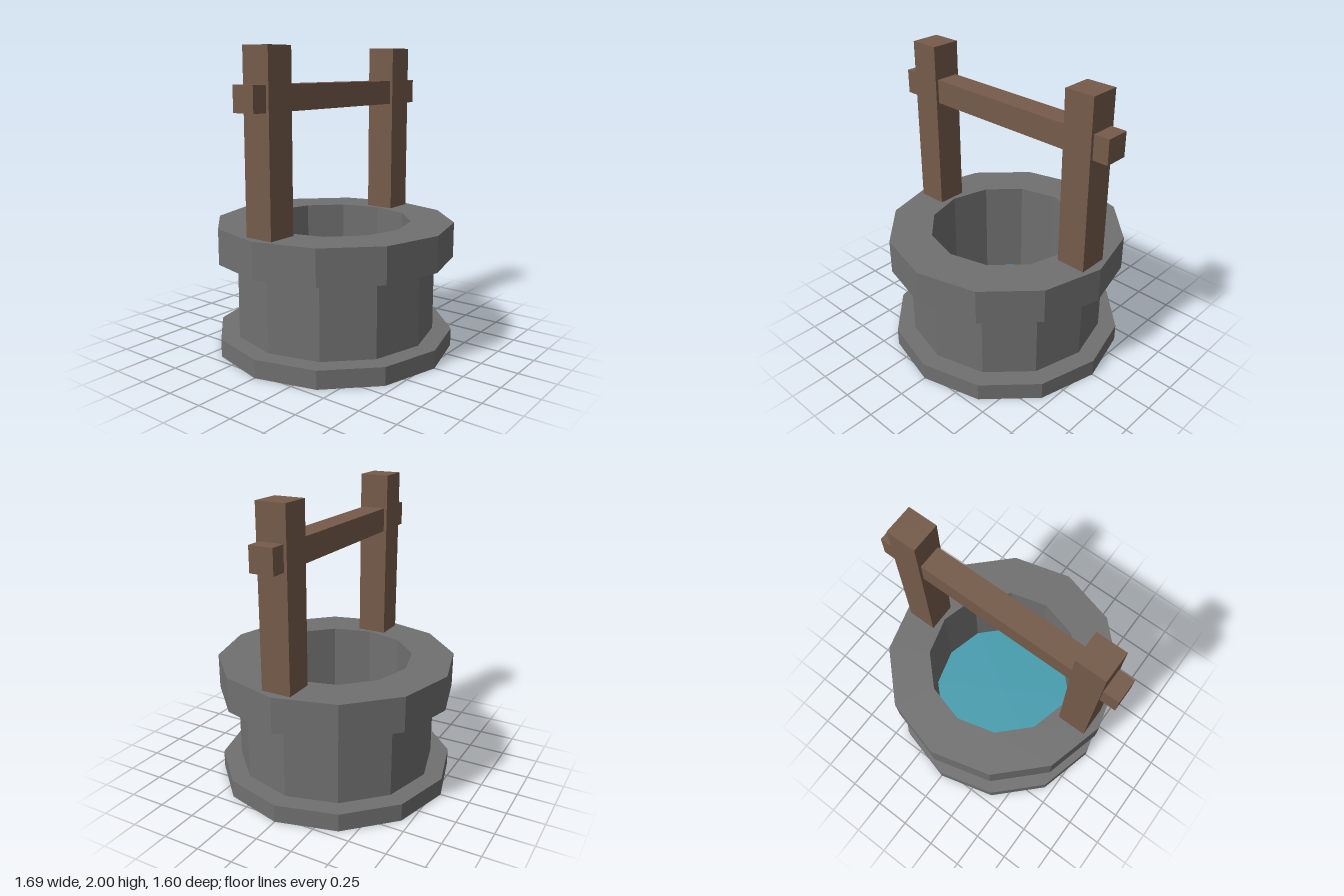
import * as THREE from 'three';

const SIDES = 12;

export function createModel() {
  const stone = new THREE.MeshStandardMaterial({ color: 0x707070 });
  stone.name = 'stone';
  const wood = new THREE.MeshStandardMaterial({ color: 0x755b49 });
  wood.name = 'wood';
  const water = new THREE.MeshStandardMaterial({ color: 0x459cae });
  water.name = 'water';

  const well = new THREE.Group();
  well.name = 'well';

  function add(name, geometry, material, x = 0, y = 0, z = 0) {
    const mesh = new THREE.Mesh(geometry, material);
    mesh.name = name;
    mesh.position.set(x, y, z);
    well.add(mesh);
    return mesh;
  }

  // Give every facet its own normal for the low-poly look
  function faceted(geometry) {
    const flat = geometry.toNonIndexed();
    flat.computeVertexNormals();
    return flat;
  }

  // Twelve-sided ring turned from [radius, height] points
  function ring(profile) {
    const points = profile.map(([r, y]) => new THREE.Vector2(r, y));
    return faceted(new THREE.LatheGeometry(points, SIDES));
  }

  // Stonework: base slab, hollow shaft and overhanging rim
  add('base', faceted(new THREE.CylinderGeometry(0.8, 0.8, 0.12, SIDES)), stone, 0, 0.06, 0);
  add('outerWall', ring([[0.675, 0.12], [0.675, 0.625]]), stone);
  add('innerWall', ring([[0.515, 0.625], [0.515, 0.12]]), stone);
  add('rim', ring([[0.675, 0.625], [0.8, 0.625], [0.8, 0.86], [0.515, 0.86], [0.515, 0.625]]), stone);

  // Water surface down inside the shaft
  const surface = new THREE.CircleGeometry(0.515, SIDES);
  surface.rotateX(-Math.PI / 2);
  add('waterSurface', surface, water, 0, 0.18, 0);

  // Two posts standing on the rim
  for (const [name, side] of [['leftPost', 1], ['rightPost', -1]]) {
    add(name, new THREE.BoxGeometry(0.2, 1.14, 0.2), wood, side * 0.64, 1.43, 0);
  }

  // Beam running through both posts
  add('crossbeam', new THREE.BoxGeometry(1.69, 0.16, 0.16), wood, 0, 1.695, 0);

  return well;
}
